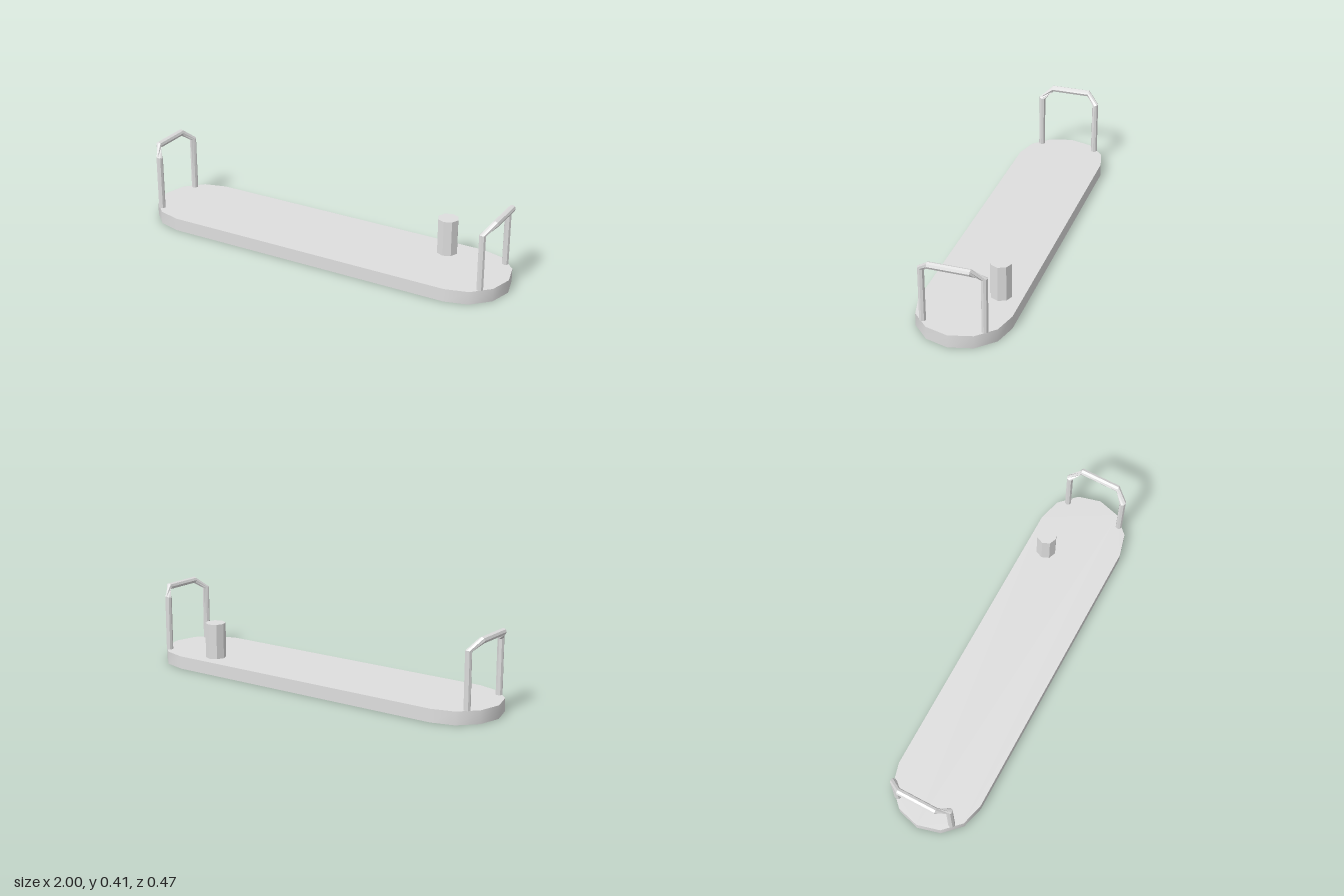
import * as THREE from 'three';
import { mergeGeometries, toCreasedNormals } from 'three/addons/utils/BufferGeometryUtils.js';

const TOP = 0.067; // deck height

// Hollow deck with rounded ends: a top sheet and a surrounding wall, open below
function deckGeometry() {
  const r = 0.233, cx = 1 - r, steps = 6, outline = [];
  for (const end of [0, 1]) {
    for (let i = 0; i <= steps; i++) {
      const a = -Math.PI / 2 + Math.PI * (end + i / steps);
      outline.push(new THREE.Vector2((end ? -cx : cx) + r * Math.cos(a), r * Math.sin(a)));
    }
  }
  const sheet = new THREE.ShapeGeometry(new THREE.Shape(outline));
  sheet.rotateX(-Math.PI / 2).translate(0, TOP, 0);
  sheet.deleteAttribute('uv');

  const pos = [], index = [], n = outline.length;
  outline.forEach((p, i) => {
    pos.push(p.x, 0, -p.y, p.x, TOP, -p.y);
    const a = 2 * i, b = 2 * ((i + 1) % n);
    index.push(a, b, b + 1, a, b + 1, a + 1);
  });
  const wall = new THREE.BufferGeometry();
  wall.setAttribute('position', new THREE.Float32BufferAttribute(pos, 3));
  wall.setIndex(index);
  wall.computeVertexNormals();
  return mergeGeometries([sheet, wall]);
}

// Bent bar lofted through octagonal rings: up one leg, across, down the other
function handleGeometry() {
  const r = 0.0172, sides = 8;
  const half = [ // centre x, y, z, outward direction y, z, and twist
    [0.916, TOP, 0.152, 0, 1, 0],
    [0.916, 0.35, 0.152, 0.27, 0.96, 0],
    [0.955, 0.395, 0.101, 0.99, 0.14, Math.PI / 4],
  ];
  const rings = [...half, ...half.map(([x, y, z, oy, oz, t]) => [x, y, -z, oy, -oz, t]).reverse()];
  const pos = [], index = [];
  rings.forEach(([x, y, z, oy, oz, twist], i) => {
    for (let j = 0; j < sides; j++) {
      const a = (j / sides) * Math.PI * 2 + twist;
      const s = r * Math.sin(a);
      pos.push(x + r * Math.cos(a), y + s * oy, z + s * oz);
      if (i === rings.length - 1) continue;
      const p = i * sides + j, q = i * sides + (j + 1) % sides;
      index.push(p, p + sides, q, q, p + sides, q + sides);
    }
  });
  const geo = new THREE.BufferGeometry();
  geo.setAttribute('position', new THREE.Float32BufferAttribute(pos, 3));
  geo.setIndex(index);
  return toCreasedNormals(geo, 0.5);
}

export function createModel() {
  const group = new THREE.Group();
  const grey = new THREE.MeshStandardMaterial({ color: 0xdedede, side: THREE.DoubleSide });
  grey.name = 'light grey';
  const add = (name, geo) => {
    const mesh = new THREE.Mesh(geo, grey);
    mesh.name = name;
    group.add(mesh);
    return mesh;
  };

  add('deck', deckGeometry());

  // A handle at each end, leaning outward
  const handle = handleGeometry();
  add('leftHandle', handle);
  add('rightHandle', handle).rotation.y = Math.PI;

  // Eight-sided post near the back edge
  const height = 0.251 - TOP;
  const post = toCreasedNormals(new THREE.CylinderGeometry(0.053, 0.053, height, 8), 0.5);
  add('post', post).position.set(0.615, TOP + height / 2, -0.127);

  return group;
}
